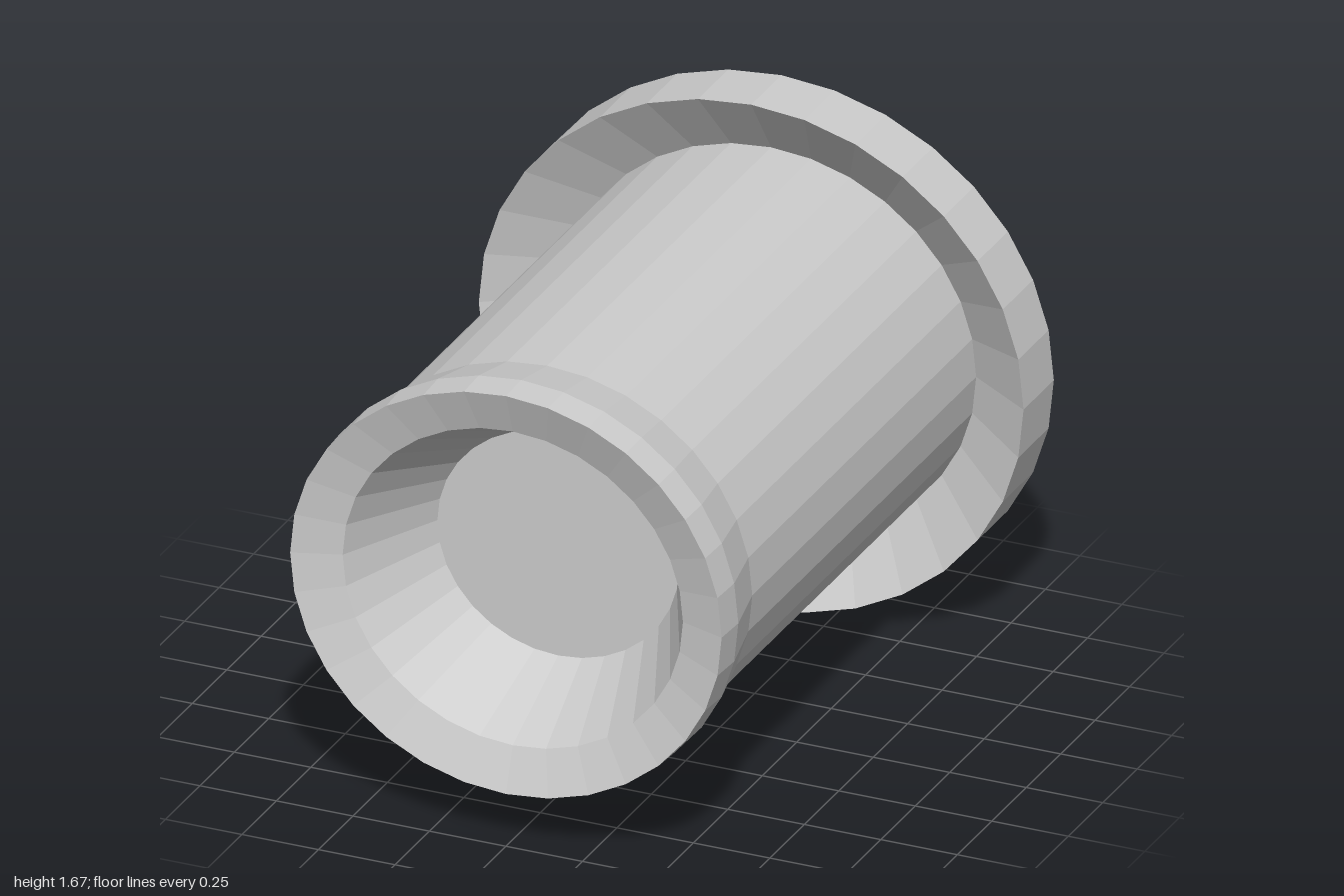
import * as THREE from 'three';

const SIDES = 32;
const SQUASH = 0.936; // the round sections are slightly flattened in height
const CENTRE_Y = 0.834;

// Turns a profile of [radius, z] pairs, listed back to front along the outside, around the z axis.
function turnedPart(name, profile, material) {
  const points = profile.map(([r, z]) => new THREE.Vector2(r, z));
  const geometry = new THREE.LatheGeometry(points, SIDES);
  geometry.rotateX(Math.PI / 2);
  geometry.scale(1, SQUASH, 1);
  const mesh = new THREE.Mesh(geometry, material);
  mesh.name = name;
  mesh.position.y = CENTRE_Y;
  return mesh;
}

export function createModel() {
  const material = new THREE.MeshStandardMaterial({ color: 0xcccccc, flatShading: true });
  const model = new THREE.Group();
  model.name = 'flangedTube';

  // Closed recess in the back of the flange
  model.add(turnedPart('backRecess', [[0, -0.86], [0.565, -0.86], [0.745, -1]], material));

  // Flange: flat back ring, outer band and a dished front face
  model.add(turnedPart('flange', [[0.745, -1], [0.89, -1], [0.89, -0.78], [0.67, -0.925]], material));

  // Barrel flaring into the front lip
  model.add(turnedPart('barrel', [[0.67, -0.925], [0.67, 0.7], [0.71, 0.89], [0.705, 1]], material));

  // Front socket: shallow sloping rim, then a steeper cone to a flat floor
  model.add(turnedPart('frontSocket', [[0.705, 1], [0.556, 0.95], [0.395, 0.62], [0, 0.62]], material));

  return model;
}
